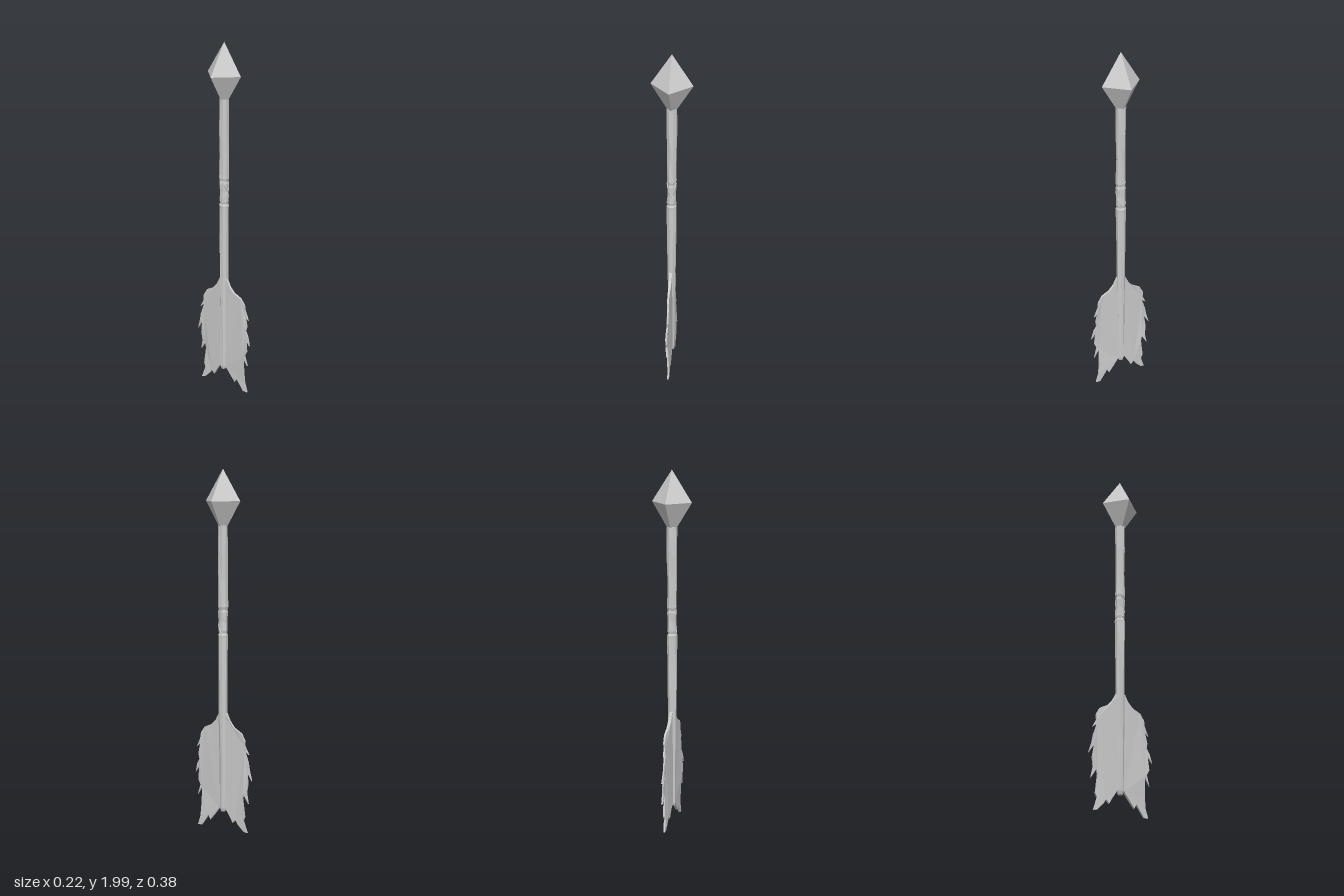
import * as THREE from 'three';

const material = new THREE.MeshStandardMaterial({ color: 0xcccccc, flatShading: true, side: THREE.DoubleSide });

function addPart(group, name, geometry) {
  const flat = geometry.index ? geometry.toNonIndexed() : geometry;
  flat.computeVertexNormals();
  const mesh = new THREE.Mesh(flat, material);
  mesh.name = name;
  group.add(mesh);
  return mesh;
}

// Moves every vertex of a geometry by a rule
function reshape(geometry, rule) {
  const pos = geometry.attributes.position;
  const v = new THREE.Vector3();
  for (let i = 0; i < pos.count; i++) {
    rule(v.fromBufferAttribute(pos, i));
    pos.setXYZ(i, v.x, v.y, v.z);
  }
  return geometry;
}

// Four-sided pointed head: profile from neck to tip
function headGeometry() {
  const profile = [[0, 1.695], [0.028, 1.695], [0.111, 1.83], [0, 2]];
  return new THREE.LatheGeometry(profile.map(([r, y]) => new THREE.Vector2(r, y)), 4);
}

// Hand-carved eight-sided shaft with pinched grooves around the grip
function shaftGeometry() {
  const profile = [
    [0, 0.11], [0.014, 0.112], [0.019, 0.13], [0.021, 0.4], [0.024, 0.65], [0.026, 0.9],
    [0.027, 1.09], [0.028, 1.105], [0.023, 1.115], [0.026, 1.13], [0.024, 1.18],
    [0.027, 1.23], [0.024, 1.245], [0.028, 1.26], [0.027, 1.28], [0.026, 1.4],
    [0.028, 1.55], [0.027, 1.7],
  ];
  const lathe = new THREE.LatheGeometry(profile.map(([r, y]) => new THREE.Vector2(r, y)), 8, Math.PI / 8);
  return reshape(lathe, (v) => {
    const angle = Math.atan2(v.z, v.x);
    const k = 1 + 0.05 * Math.sin(2 * angle + 9 * v.y) + 0.04 * Math.sin(3 * angle - 23 * v.y);
    v.x = v.x * k - 0.002 * (1.7 - v.y);
    v.z *= k;
  });
}

// Ragged feather vane in the z-y plane, thinning towards its outer edge
function featherGeometry(outline, side) {
  const shape = new THREE.Shape(outline.map(([z, y]) => new THREE.Vector2(side * z, y)));
  const vane = new THREE.ExtrudeGeometry(shape, { depth: 1, bevelEnabled: false });
  vane.translate(0, 0, -0.5).rotateY(-Math.PI / 2);
  return reshape(vane, (v) => {
    const out = Math.abs(v.z);
    v.x *= 0.018 - 0.055 * out;
    v.x += -0.003 + 0.03 * out * Math.sin(14 * v.y + side);
  });
}

const frontOutline = [
  [0, 0.68], [0.025, 0.67], [0.045, 0.63], [0.075, 0.6], [0.12, 0.58], [0.145, 0.545],
  [0.15, 0.51], [0.172, 0.46], [0.15, 0.48], [0.164, 0.42], [0.158, 0.39], [0.175, 0.36],
  [0.188, 0.31], [0.162, 0.345], [0.17, 0.27], [0.155, 0.24], [0.172, 0.18], [0.142, 0.23],
  [0.145, 0.12], [0.15, 0.06], [0.166, 0.01], [0.14, 0.01], [0.115, 0.045], [0.095, 0.075],
  [0.082, 0.05], [0.05, 0.09], [0.02, 0.13], [0, 0.13],
];
const backOutline = [
  [0, 0.68], [0.025, 0.67], [0.045, 0.63], [0.075, 0.595], [0.122, 0.57], [0.145, 0.53],
  [0.143, 0.5], [0.166, 0.455], [0.14, 0.475], [0.163, 0.41], [0.17, 0.37], [0.188, 0.31],
  [0.155, 0.36], [0.165, 0.29], [0.158, 0.24], [0.17, 0.18], [0.138, 0.23], [0.132, 0.2],
  [0.145, 0.1], [0.135, 0.075], [0.158, 0.01], [0.135, 0.015], [0.1, 0.05], [0.085, 0.075],
  [0.066, 0.055], [0.05, 0.085], [0.02, 0.13], [0, 0.13],
];

// Narrow strap crossing diagonally over the grip
function strapGeometry(turn, start) {
  const points = [];
  for (let i = 0; i <= 8; i++) {
    const a = start + turn * (i / 8) * Math.PI;
    points.push(new THREE.Vector3(Math.cos(a) * 0.023 - 0.001, 1.12 + 0.13 * (i / 8), Math.sin(a) * 0.023));
  }
  return new THREE.TubeGeometry(new THREE.CatmullRomCurve3(points), 8, 0.005, 4);
}

export function createModel() {
  const group = new THREE.Group();
  group.name = 'arrow';
  addPart(group, 'arrowhead', headGeometry());
  addPart(group, 'shaft', shaftGeometry());
  addPart(group, 'frontFeather', featherGeometry(frontOutline, 1));
  addPart(group, 'backFeather', featherGeometry(backOutline, -1));
  for (const turn of [1, -1]) {
    addPart(group, turn > 0 ? 'gripStrapRight' : 'gripStrapLeft', strapGeometry(turn, turn > 0 ? 0 : Math.PI));
  }
  return group;
}
